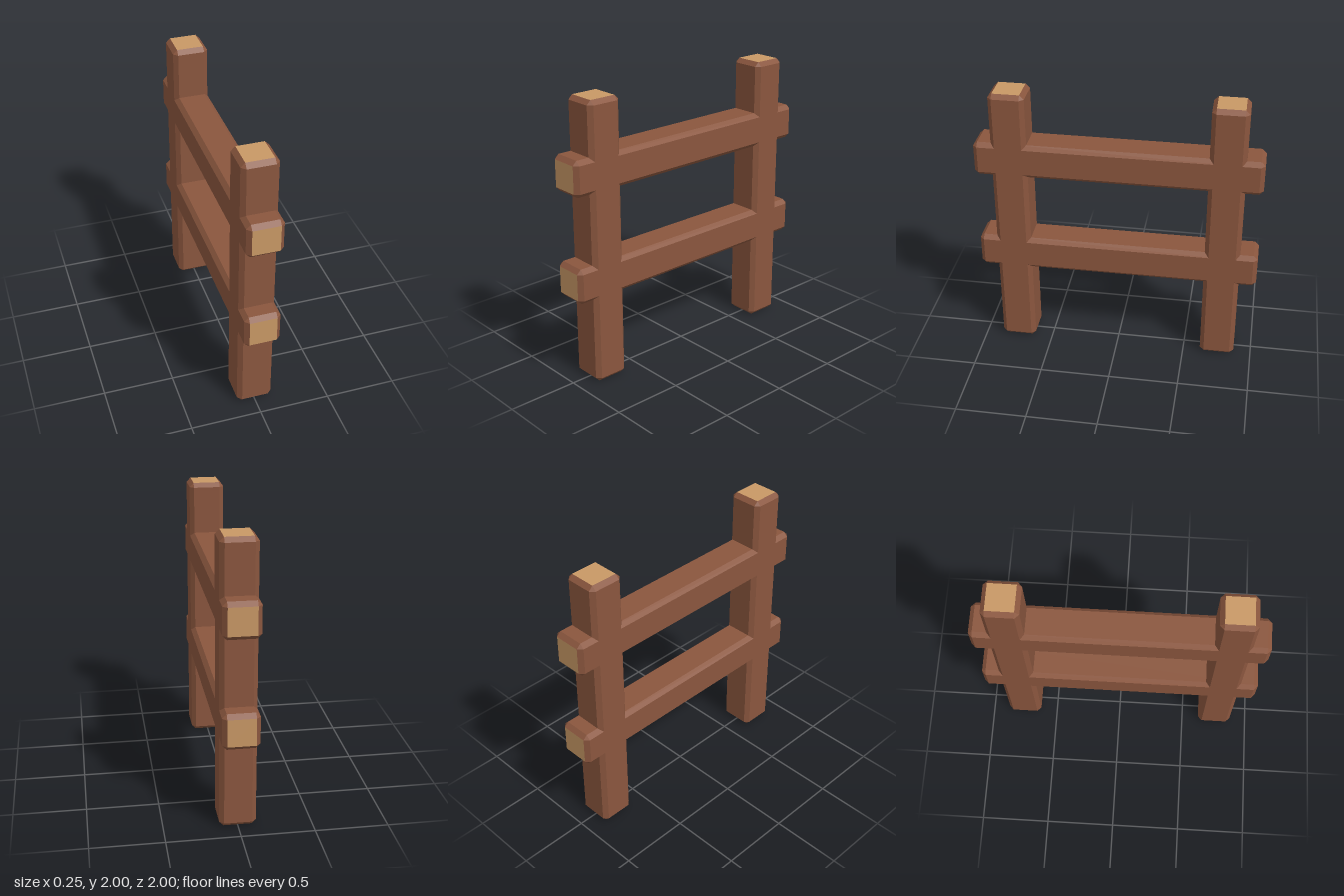
import * as THREE from 'three';

const HALF = 0.125;   // half thickness of every beam
const BEVEL = 0.03;
const INNER = HALF - BEVEL;
const LENGTH = 2;

const bark = new THREE.MeshStandardMaterial({ color: 0x8a563e });
bark.name = 'brown wood';
const endGrain = new THREE.MeshStandardMaterial({ color: 0xc89865 });
endGrain.name = 'pale end grain';

// Eight-point ring, two points per corner; the ends close in to a square.
function ring(y, half) {
  const points = [];
  for (let k = 0; k < 4; k++) {
    for (const [x, z] of [[half, INNER], [INNER, half]]) {
      points.push(new THREE.Vector3(x, y, z).applyAxisAngle(new THREE.Vector3(0, 1, 0), -k * Math.PI / 2));
    }
  }
  return points;
}

// Bevelled sides of a beam standing along y, without its two end squares.
function beamSides() {
  const h = LENGTH / 2;
  const rings = [ring(-h, INNER), ring(-h + BEVEL, HALF), ring(h - BEVEL, HALF), ring(h, INNER)];
  const positions = [];
  const addTriangle = (a, b, c) => {
    if (new THREE.Triangle(a, b, c).getArea() < 1e-7) return;
    for (const p of [a, b, c]) positions.push(p.x, p.y, p.z);
  };
  for (let r = 0; r < 3; r++) {
    for (let i = 0; i < 8; i++) {
      const j = (i + 1) % 8;
      const a = rings[r][i], b = rings[r][j];
      const c = rings[r + 1][i], d = rings[r + 1][j];
      addTriangle(a, c, b);
      addTriangle(b, c, d);
    }
  }
  const geometry = new THREE.BufferGeometry();
  geometry.setAttribute('position', new THREE.Float32BufferAttribute(positions, 3));
  geometry.computeVertexNormals();
  return geometry;
}

export function createModel() {
  const model = new THREE.Group();
  model.name = 'woodenFence';
  const sides = beamSides();
  const endSquare = new THREE.PlaneGeometry(INNER * 2, INNER * 2);

  function addBeam(name, y, z, tilt) {
    const beam = new THREE.Group();
    beam.name = name;
    const body = new THREE.Mesh(sides, bark);
    body.name = name + 'Body';
    beam.add(body);
    for (const s of [1, -1]) {
      const end = new THREE.Mesh(endSquare, endGrain);
      end.name = name + (s > 0 ? 'EndA' : 'EndB');
      end.position.y = s * LENGTH / 2;
      end.rotation.x = -s * Math.PI / 2;
      beam.add(end);
    }
    beam.position.set(0, y, z);
    beam.rotation.x = tilt;
    model.add(beam);
  }

  // Upright posts
  addBeam('frontPost', 1, 0.75, 0);
  addBeam('backPost', 1, -0.75, 0);
  // Horizontal rails
  addBeam('lowerRail', 0.755, 0, Math.PI / 2);
  addBeam('upperRail', 1.505, 0, Math.PI / 2);

  return model;
}
